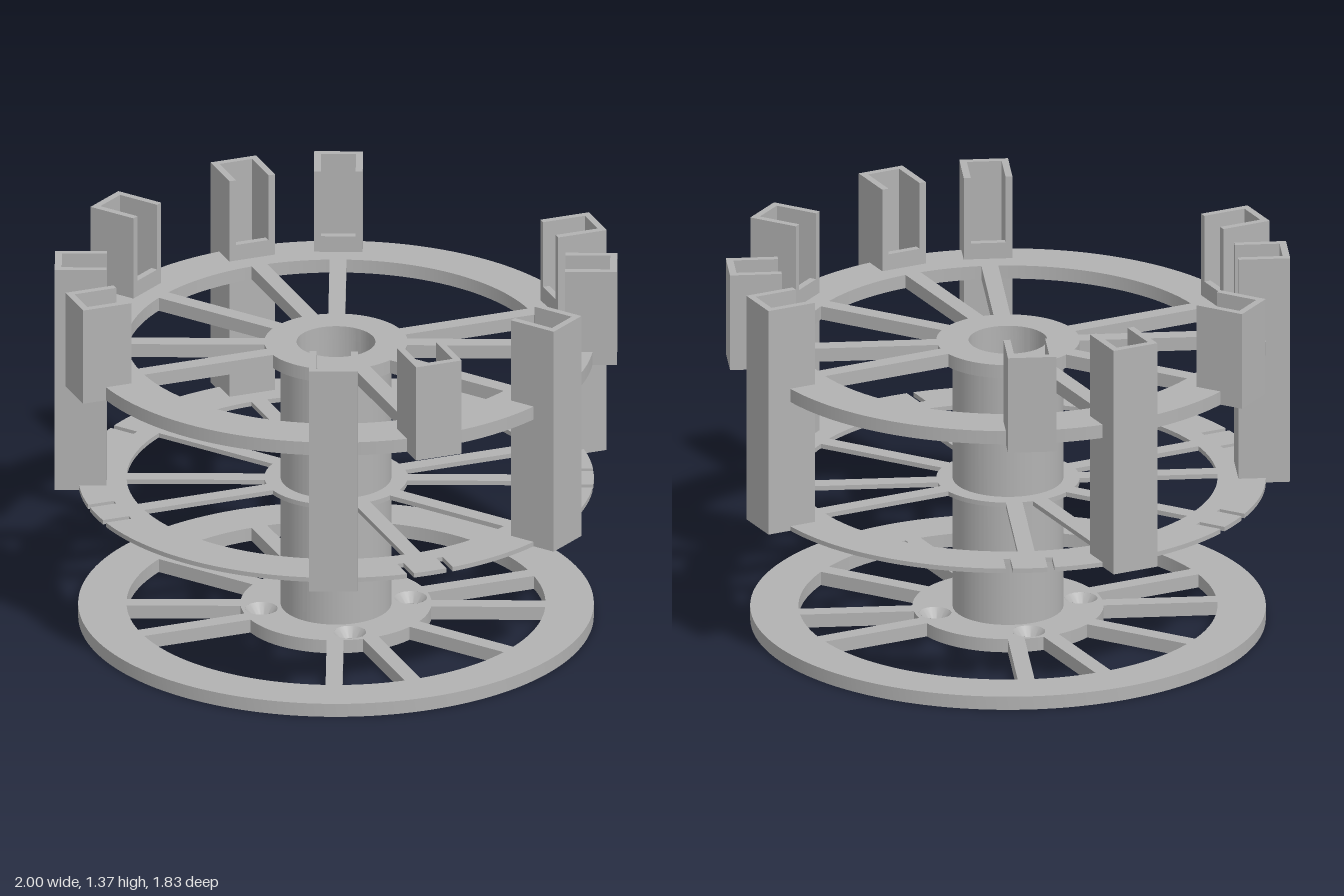
import * as THREE from 'three';
import { toCreasedNormals } from 'three/addons/utils/BufferGeometryUtils.js';

const gray = new THREE.MeshStandardMaterial({ color: 0xb2b2b2 });
gray.name = 'plain gray';

const RIM = 0.917, RIM_IN = 0.745, BORE = 0.14, SPOKE = 0.03;
const angles = [0, 34, 56, 124, 146, 180, 214, 236, 304, 326].map(THREE.MathUtils.degToRad);
// Holder cross-section: radial extent, half width and wall thickness
const H_IN = 0.815, H_OUT = 1, H_HALF = 0.087, WALL = 0.025;

// Extrude a plan shape (x, z) upward between two heights
function slab(shape, y0, y1, name) {
  const geo = new THREE.ExtrudeGeometry(shape, { depth: y1 - y0, bevelEnabled: false, curveSegments: 96 });
  geo.rotateX(Math.PI / 2).translate(0, y1, 0);
  const mesh = new THREE.Mesh(toCreasedNormals(geo, 0.5), gray);
  mesh.name = name;
  return mesh;
}

function circle(r, x = 0, y = 0) {
  return new THREE.Path().absarc(x, y, r, 0, Math.PI * 2, false);
}

// Opening between two neighbouring spokes
function spokeWindow(a, b, hub) {
  const di = Math.asin(SPOKE / hub), dr = Math.asin(SPOKE / RIM_IN);
  const path = new THREE.Path();
  path.absarc(0, 0, RIM_IN, a + dr, b - dr, false);
  path.absarc(0, 0, hub, b - di, a + di, true);
  path.closePath();
  return path;
}

// Rim outline with a pair of narrow slots at each holder position
function slottedRim() {
  const shape = new THREE.Shape();
  const offset = t => Math.asin(t / RIM);
  const point = (a, r, t) => [r * Math.cos(a) - t * Math.sin(a), r * Math.sin(a) + t * Math.cos(a)];
  const inner = H_HALF - WALL;
  angles.forEach((a, i) => {
    const next = i < angles.length - 1 ? angles[i + 1] : angles[0] + Math.PI * 2;
    shape.absarc(0, 0, RIM, a - offset(inner), a + offset(inner), false);
    shape.lineTo(...point(a, H_IN, inner));
    shape.lineTo(...point(a, H_IN, H_HALF));
    shape.absarc(0, 0, RIM, a + offset(H_HALF), next - offset(H_HALF), false);
    shape.lineTo(...point(next, H_IN, -H_HALF));
    shape.lineTo(...point(next, H_IN, -inner));
  });
  return shape;
}

function wheel(outline, hub, y0, y1, name, extraHoles = []) {
  outline.holes.push(circle(BORE), ...extraHoles);
  angles.forEach((a, i) => {
    const next = i < angles.length - 1 ? angles[i + 1] : angles[0] + Math.PI * 2;
    outline.holes.push(spokeWindow(a, next, hub));
  });
  return slab(outline, y0, y1, name);
}

const polygon = pts => new THREE.Shape(pts.map(p => new THREE.Vector2(...p)));

// Square tube whose upper part is open toward the axle
function holder(angle, bottom, name) {
  const group = new THREE.Group();
  group.name = name;
  const sill = 1.12, top = 1.37;
  const xi = H_IN + WALL, xo = H_OUT - WALL, h = H_HALF, w = H_HALF - WALL;
  const tube = polygon([[H_IN, -h], [H_OUT, -h], [H_OUT, h], [H_IN, h]]);
  tube.holes.push(polygon([[xi, -w], [xi, w], [xo, w], [xo, -w]]));
  const channel = polygon([[H_IN, -h], [H_OUT, -h], [H_OUT, h], [H_IN, h],
    [H_IN, w], [xo, w], [xo, -w], [H_IN, -w]]);
  group.add(slab(tube, bottom, sill, 'holderTube'), slab(channel, sill, top, 'holderChannel'));
  group.rotation.y = -angle;
  return group;
}

export function createModel() {
  const model = new THREE.Group();
  model.name = 'holderCarousel';

  // Base wheel with four countersunk screw holes
  const screws = [45, 135, 225, 315].map(d => {
    const a = THREE.MathUtils.degToRad(d);
    return [0.27 * Math.cos(a), 0.27 * Math.sin(a)];
  });
  const disc = new THREE.Shape().absarc(0, 0, RIM, 0, Math.PI * 2, false);
  model.add(wheel(disc, 0.34, 0, 0.05, 'baseWheel', screws.map(([x, z]) => circle(0.058, x, z))));
  const sink = [[0.058, 0], [0.028, 0], [0.028, 0.015], [0.058, 0.05]].map(p => new THREE.Vector2(...p));
  const sinkGeo = toCreasedNormals(new THREE.LatheGeometry(sink.reverse(), 32), 0.5);
  const sinkMat = gray;
  sinkMat.side = THREE.DoubleSide;
  for (const [x, z] of screws) {
    const mesh = new THREE.Mesh(sinkGeo, sinkMat);
    mesh.name = 'countersink';
    mesh.position.set(x, 0, z);
    model.add(mesh);
  }

  // Hollow axle
  const axle = new THREE.Shape().absarc(0, 0, 0.197, 0, Math.PI * 2, false);
  axle.holes.push(circle(BORE));
  model.add(slab(axle, 0.05, 1.01, 'axle'));

  // Thin middle wheel and thick upper wheel
  model.add(wheel(slottedRim(), 0.255, 0.52, 0.537, 'middleWheel'));
  model.add(wheel(slottedRim(), 0.255, 1.01, 1.06, 'upperWheel'));

  // Long and short holders alternate around the rim
  angles.forEach((a, i) => {
    const long = i % 2 === 0;
    model.add(holder(a, long ? 0.52 : 1.01, long ? 'longHolder' : 'shortHolder'));
  });
  return model;
}
